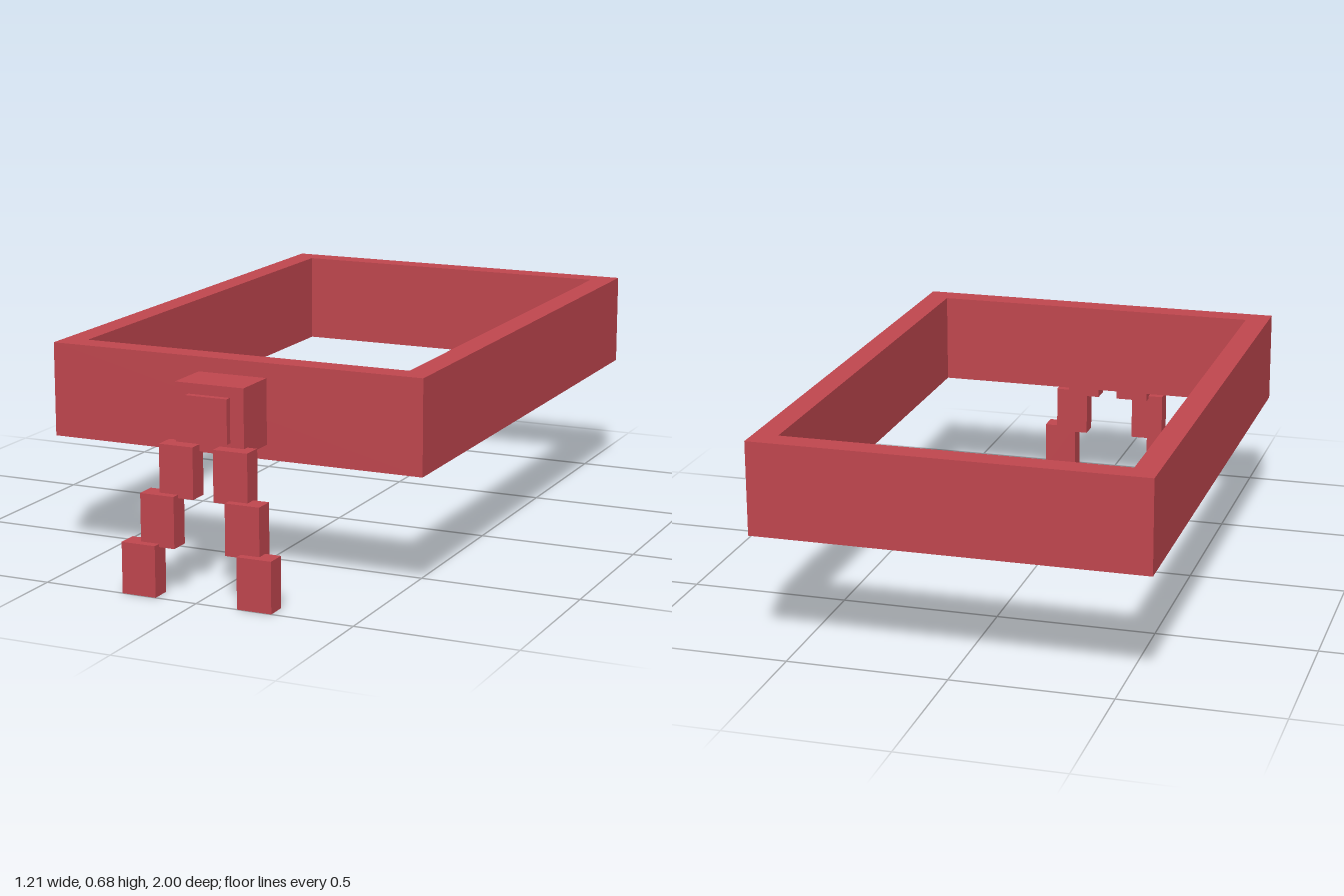
import * as THREE from 'three';

const red = new THREE.MeshStandardMaterial({ color: 0xc0464e });
red.name = 'red cloth';

// Box given by its lower and upper corners
function box(name, [x0, y0, z0], [x1, y1, z1]) {
  const mesh = new THREE.Mesh(new THREE.BoxGeometry(x1 - x0, y1 - y0, z1 - z0), red);
  mesh.position.set((x0 + x1) / 2, (y0 + y1) / 2, (z0 + z1) / 2);
  mesh.name = name;
  return mesh;
}

// Closed rectangle, wound counter-clockwise
function rectangle(Type, x, z0, z1) {
  return new Type([[-x, z0], [x, z0], [x, z1], [-x, z1]].map(([a, b]) => new THREE.Vector2(a, b)));
}

export function createModel() {
  const model = new THREE.Group();
  model.name = 'sash';

  // Rectangular band, open through the middle (shape y becomes -z)
  const outline = rectangle(THREE.Shape, 0.605, -0.753, 1);
  outline.holes.push(rectangle(THREE.Path, 0.53, -0.677, 0.925));
  const band = new THREE.Mesh(
    new THREE.ExtrudeGeometry(outline, { depth: 0.29, bevelEnabled: false }).rotateX(-Math.PI / 2), red);
  band.position.y = 0.385;
  band.name = 'band';
  model.add(band);

  // Knot on the front, with a small raised panel
  model.add(box('knot', [-0.111, 0.43, 0.753], [0.111, 0.63, 0.902]));
  model.add(box('knotPanel', [-0.067, 0.464, 0.89], [0.067, 0.598, 0.923]));

  // Two hanging tails, each of three stepped blocks
  for (const side of [1, -1]) {
    const tail = new THREE.Group();
    tail.name = side > 0 ? 'leftTail' : 'rightTail';
    for (let i = 0; i < 3; i++) {
      const x = side * (0.088 + 0.05 * i);
      const y = 0.294 - 0.147 * i;
      const z = 0.881 + 0.027 * i;
      tail.add(box('tailBlock' + (i + 1), [x - 0.055, y, z], [x + 0.055, y + 0.157, z + 0.065]));
    }
    model.add(tail);
  }
  return model;
}
